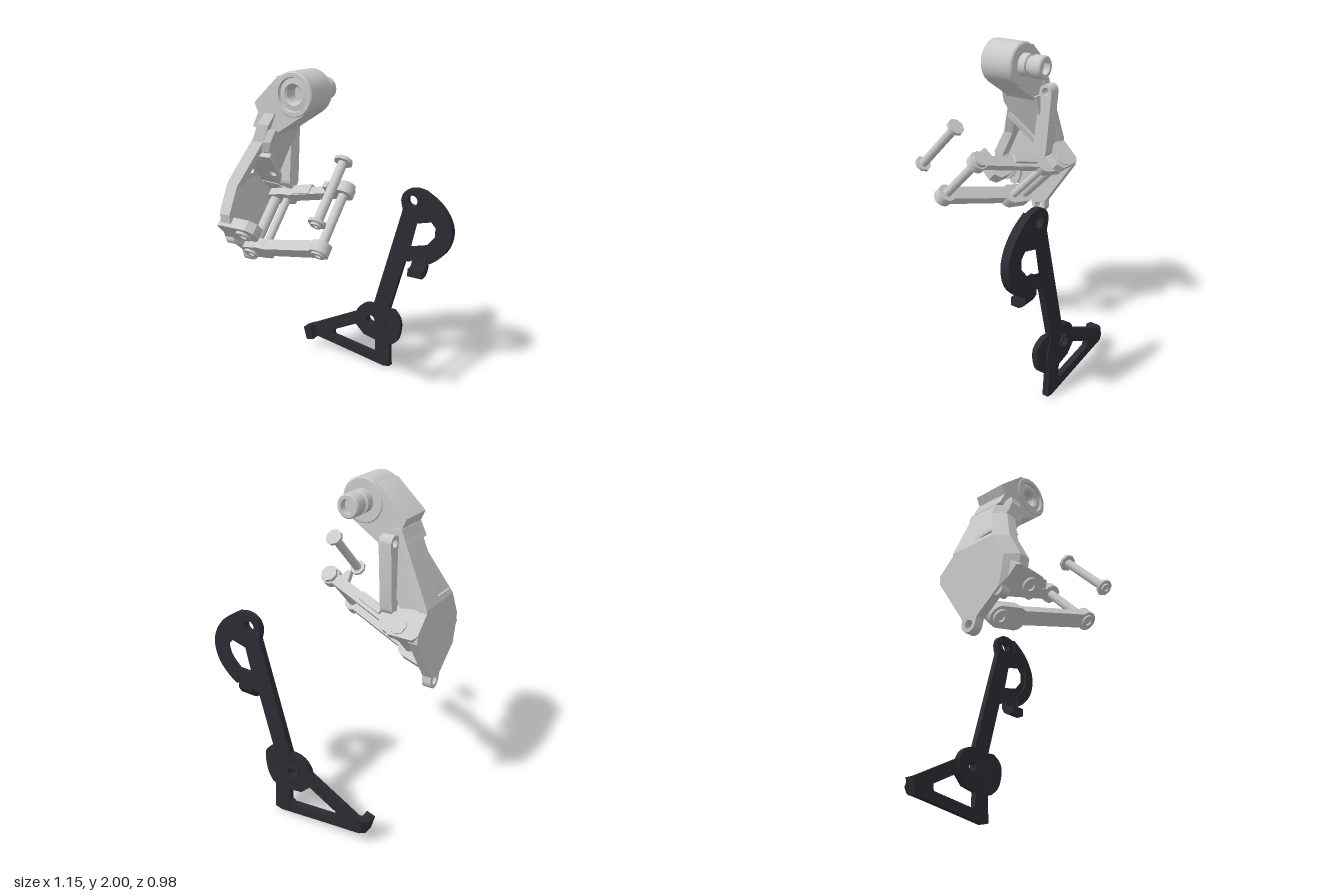
import * as THREE from 'three';
import { toCreasedNormals } from 'three/addons/utils/BufferGeometryUtils.js';

export function createModel() {
  const model = new THREE.Group();
  const silver = new THREE.MeshStandardMaterial({ color: 0xcacaca });
  silver.name = 'silver';
  const black = new THREE.MeshStandardMaterial({ color: 0x2b2b33 });
  black.name = 'black';

  const add = (parent, name, geo, mat = silver) => {
    const mesh = new THREE.Mesh(geo, mat);
    mesh.name = name;
    parent.add(mesh);
    return mesh;
  };
  const poly = (pts) => new THREE.Shape(pts.map(([x, y]) => new THREE.Vector2(x, y)));
  // smooth curve through a few points, as [x, y] pairs
  const smooth = (pts) => new THREE.SplineCurve(pts.map(([x, y]) => new THREE.Vector2(x, y)))
    .getPoints(pts.length * 4).map((p) => [p.x, p.y]);
  const circle = (x, y, r) => new THREE.Shape().absarc(x, y, r, 0, Math.PI * 2, false);
  const withHoles = (shape, ...holes) => {
    shape.holes.push(...holes);
    return shape;
  };
  // bar with rounded ends of radius r1 and r2
  const bar = (x1, y1, r1, x2, y2, r2) => {
    const t = Math.atan2(y2 - y1, x2 - x1), h = Math.PI / 2;
    return new THREE.Shape().absarc(x1, y1, r1, t + h, t + 3 * h, false)
      .absarc(x2, y2, r2, t - h, t + h, false);
  };
  // shape in the xy plane, filled from z0 to z1
  const slab = (shape, z0, z1) => {
    const geo = new THREE.ExtrudeGeometry(shape, { depth: z1 - z0, bevelEnabled: false, curveSegments: 16 });
    geo.translate(0, 0, z0);
    return toCreasedNormals(geo, 0.5);
  };
  // shape given as (z, y), filled from x0 to x1
  const sideSlab = (shape, x0, x1) => slab(shape, -x1, -x0).rotateY(-Math.PI / 2);
  // move every vertex by a rule
  const reshape = (geo, rule) => {
    const pos = geo.attributes.position, v = new THREE.Vector3();
    for (let i = 0; i < pos.count; i++) {
      rule(v.fromBufferAttribute(pos, i));
      pos.setXYZ(i, v.x, v.y, v.z);
    }
    geo.computeVertexNormals();
    return geo;
  };

  // ---------- cage plate ----------
  const cage = new THREE.Group();
  cage.name = 'cage';
  model.add(cage);
  const rim = smooth([[0.38, 1.265], [0.48, 1.2], [0.55, 1.11], [0.572, 1.015], [0.545, 0.915], [0.48, 0.84], [0.42, 0.8]]);
  const pivotEdge = smooth([[0.235, 1.13], [0.222, 1.19], [0.24, 1.24], [0.28, 1.268], [0.33, 1.275]]);
  const cageHole = circle(0.024, 0.323, 0.032);
  const outline = poly([
    ...pivotEdge, ...rim, [0.41, 0.89], [0.33, 0.88], [0.305, 0.8], [0.257, 0.785], [0.155, 0.41], [0.19, 0.3],
    [0.165, 0.18], [0.175, 0.01], [0.13, 0], [-0.27, 0.062], [-0.43, 0.085], [-0.45, 0.12], [-0.43, 0.175],
    [-0.09, 0.35], [-0.035, 0.41], [0.045, 0.445],
  ]);
  withHoles(outline, cageHole, circle(0.3, 1.195, 0.034),
    poly([[0.337, 1.055], [0.43, 1.078], [0.46, 1.045], [0.458, 0.985], [0.41, 0.928], [0.302, 0.9]]),
    poly([[-0.09, 0.26], [-0.275, 0.165], [-0.27, 0.125], [0.04, 0.08], [0.062, 0.095], [0.062, 0.18], [-0.03, 0.2]]));
  add(cage, 'cagePlate', slab(outline, -0.48, -0.443), black);
  add(cage, 'pulleyBoss', slab(withHoles(circle(0.024, 0.323, 0.115), cageHole), -0.475, -0.437), black);
  add(cage, 'pulleyNut', slab(withHoles(circle(0.024, 0.323, 0.045), cageHole), -0.493, -0.47), black);
  add(cage, 'pivotBoss', slab(withHoles(circle(0.3, 1.195, 0.058), circle(0.3, 1.195, 0.034)), -0.45, -0.438), black);
  add(cage, 'upperGuard', slab(poly([
    ...rim, ...smooth([[0.42, 0.88], [0.485, 0.95], [0.5, 1.03], [0.465, 1.11], [0.39, 1.17]]),
  ]), -0.46, -0.43), black);
  const lowerGuard = slab(poly([
    [0.13, 0.43], ...smooth([[0.2, 0.43], [0.245, 0.385], [0.257, 0.32], [0.237, 0.23], [0.19, 0.18]]), [0.14, 0.19], [0.16, 0.3],
  ]), -0.475, -0.442);
  add(cage, 'lowerGuard', reshape(lowerGuard, (v) => { v.z += Math.max(0, v.x - 0.17) * 0.27; }), black);
  add(cage, 'upperTab', sideSlab(poly([
    [-0.44, 0.89], [-0.44, 0.8], [-0.43, 0.78], [-0.41, 0.77], [-0.38, 0.77], [-0.38, 0.72], [-0.43, 0.72],
    [-0.455, 0.735], [-0.475, 0.77], [-0.475, 0.89],
  ]), 0.312, 0.412), black);
  const foot = new THREE.ExtrudeGeometry(poly([
    [0.08, 0.443], [0.045, 0.443], [0.03, 0.43], [0.03, 0.38], [-0.026, 0.38], [-0.026, 0.44], [0.0, 0.47], [0.03, 0.48], [0.08, 0.48],
  ]), { depth: 0.094, bevelEnabled: false });
  foot.rotateX(-Math.PI / 2).translate(0, -0.047, 0).rotateZ(0.27).translate(-0.442, 0.122, 0);
  add(cage, 'lowerTab', foot, black);

  // ---------- body ----------
  const body = new THREE.Group();
  body.name = 'body';
  model.add(body);

  // mounting knuckle with its threaded bolt tail
  const profile = [
    [0, -0.15], [0.04, -0.15], [0.04, -0.19], [0.058, -0.19], [0.065, -0.182], [0.065, -0.12], [0.054, -0.115],
    [0.054, -0.095], [0.065, -0.09], [0.065, -0.045], [0.117, -0.045], [0.126, -0.036], [0.126, 0.162], [0.118, 0.17],
    [0.095, 0.17], [0.09, 0.155], [0.06, 0.16], [0.048, 0.15], [0.045, 0.08], [0, 0.08],
  ].map(([r, h]) => new THREE.Vector2(r, h));
  const knuckle = toCreasedNormals(new THREE.LatheGeometry(profile, 32), 0.5);
  knuckle.rotateX(Math.PI / 2).translate(-0.155, 1.874, 0);
  add(body, 'mountingKnuckle', knuckle);
  add(body, 'upperArm', slab(withHoles(poly([
    [-0.155, 1.995], [-0.25, 1.97], [-0.42, 1.815], [-0.395, 1.76], [-0.435, 1.68], [-0.285, 1.62],
    [-0.265, 1.655], [-0.09, 1.765], [-0.035, 1.85], [-0.045, 1.92],
  ]), circle(-0.155, 1.874, 0.11)), -0.04, 0.165));

  // outer front edge of the walls is cut back; the upper half leans inwards
  const chamfer = (v) => {
    if (v.x < -0.57 && v.z + 0.464 * (v.y - 1.35) > 0.28) v.z -= 0.07;
  };
  const lean = (shape, x0, x1) => reshape(sideSlab(shape, x0, x1), (v) => {
    chamfer(v);
    v.x += (v.y - 1.35) * 0.43;
  });
  add(body, 'upperWall', lean(withHoles(
    poly([[0.175, 1.76], [0.2, 1.7], [0.2, 1.6], [0.316, 1.35], [-0.06, 1.35], [-0.05, 1.76]]),
    poly([[0.225, 1.38], [0.09, 1.38], [0.11, 1.53], [0.155, 1.53]])), -0.575, -0.52));
  add(body, 'upperLip', lean(poly([
    [0.175, 1.76], [0.2, 1.7], [0.2, 1.6], [0.316, 1.35], [0.25, 1.35], [0.15, 1.58], [0.13, 1.76],
  ]), -0.52, -0.45));
  add(body, 'upperCore', lean(poly([
    [0.19, 1.67], [0.2, 1.6], [0.18, 1.54], [-0.055, 1.32], [-0.055, 1.67],
  ]), -0.525, -0.398));

  // upright lower half: thin wall with a thick front lip
  add(body, 'lowerWall', reshape(sideSlab(poly([
    [0.316, 1.35], [0.395, 1.2], [0.385, 1.13], [0.295, 1.02], [0.125, 0.88], [0.04, 0.9],
    [-0.155, 1.19], [-0.15, 1.24], [-0.06, 1.33], [-0.06, 1.35],
  ]), -0.575, -0.52), chamfer));
  add(body, 'lowerLip', sideSlab(poly([
    [0.316, 1.35], [0.395, 1.2], [0.385, 1.13], [0.295, 1.02], [0.25, 1.06], [0.33, 1.18], [0.25, 1.35],
  ]), -0.52, -0.45));
  add(body, 'rearFin', sideSlab(withHoles(
    bar(-0.055, 1.33, 0.046, -0.088, 1.695, 0.042), circle(-0.088, 1.695, 0.024)), -0.385, -0.31));
  add(body, 'cableLug', sideSlab(withHoles(
    bar(0.1, 0.98, 0.06, 0.085, 0.868, 0.05), circle(0.085, 0.865, 0.026)), -0.575, -0.52));
  add(body, 'frontLug', sideSlab(bar(0.26, 1.06, 0.04, 0.272, 1.015, 0.034), -0.56, -0.5));

  // ---------- linkage, in a tilted frame: x across, y forward and up, z down the pins ----------
  const tilted = new THREE.Group();
  tilted.name = 'linkage';
  tilted.rotation.x = 0.803;
  model.add(tilted);
  const pin = (name, x, y, r, z0, z1, sides = 20) => {
    const geo = new THREE.CylinderGeometry(r, r, z1 - z0, sides);
    geo.rotateX(Math.PI / 2).translate(x, y, (z0 + z1) / 2);
    return add(tilted, name, geo);
  };
  const ring = (name, x, y, r, hole, z0, z1) =>
    add(tilted, name, slab(withHoles(circle(x, y, r), circle(x, y, hole)), z0, z1));

  // flanges of the body that hold the hinge pins
  add(tilted, 'frontFlange', slab(poly([
    [-0.55, 0.93], [-0.55, 1.06], [-0.52, 1.075], [-0.34, 1.075], [-0.3, 1.04], [-0.3, 0.97], [-0.34, 0.93],
  ]), -0.6, -0.535));
  ring('frontHingeEnd', -0.39, 1.0, 0.048, 0.024, -0.535, -0.52);
  add(tilted, 'rearFlange', slab(poly([
    [-0.55, 0.72], [-0.575, 0.75], [-0.575, 0.9], [-0.42, 0.88], [-0.38, 0.84], [-0.37, 0.76], [-0.4, 0.72],
  ]), -1.0, -0.95));
  // ceiling of the pocket
  add(tilted, 'innerFlange', slab(withHoles(poly([
    [-0.53, 0.85], [-0.52, 1.06], [-0.45, 1.19], [-0.305, 1.19], [-0.345, 1.0], [-0.4, 0.85],
  ]), circle(-0.39, 1.0, 0.026)), -0.985, -0.955));
  pin('rearHingeHead', -0.445, 0.78, 0.05, -1.008, -0.98, 8);

  // two link arms joined by the hinge barrel and the outer pin
  for (const [name, z0, z1, r] of [['upperLink', -0.942, -0.895, 0.033], ['lowerLink', -0.585, -0.52, 0.042]]) {
    add(tilted, name + 'Arm', slab(bar(-0.455, 0.78, r, 0.125, 0.992, r), z0, z1));
    ring(name + 'OuterEye', 0.125, 0.992, 0.057, 0.026, z0, z1);
    add(tilted, name + 'InnerEye', slab(bar(-0.455, 0.78, r + 0.022, -0.35, 0.81, r + 0.025), z0, z1));
  }
  pin('hingeBarrel', -0.455, 0.78, 0.034, -0.96, -0.53);
  ring('hingeBarrelEnd', -0.455, 0.78, 0.046, 0.022, -0.525, -0.505);
  pin('linkBrace', -0.36, 0.8, 0.024, -0.9, -0.58);
  pin('outerPin', 0.125, 0.992, 0.027, -0.945, -0.525);
  pin('outerPinHead', 0.125, 0.992, 0.05, -0.965, -0.942, 8);
  ring('outerPinEnd', 0.125, 0.992, 0.04, 0.02, -0.525, -0.508);
  const block = new THREE.BoxGeometry(0.17, 0.05, 0.06);
  block.rotateZ(0.35).translate(-0.21, 0.885, -0.93);
  add(tilted, 'linkBlock', block);
  add(tilted, 'springHook', slab(poly([[0.0, 0.96], [0.07, 0.98], [0.06, 1.01], [0.035, 1.05], [0.01, 1.05]]), -0.935, -0.9));

  // loose pin with a head on each end
  pin('loosePinShaft', 0.18, 1.208, 0.026, -0.995, -0.6);
  pin('loosePinHead', 0.18, 1.208, 0.052, -1.0, -0.98, 8);
  pin('loosePinFoot', 0.18, 1.208, 0.05, -0.62, -0.602, 8);
  ring('loosePinEnd', 0.18, 1.208, 0.03, 0.015, -0.602, -0.588);

  return model;
}
